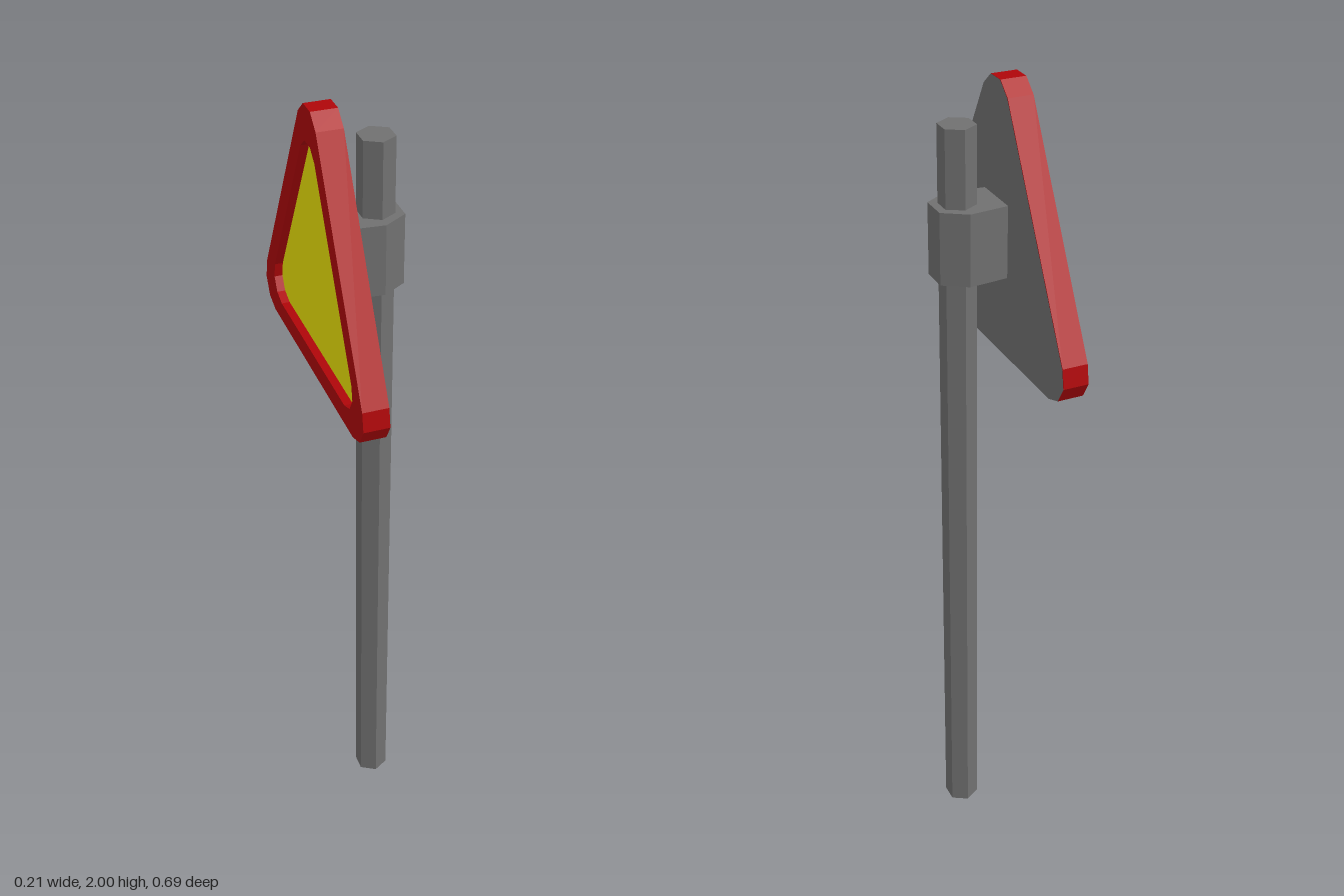
import * as THREE from 'three';

// Centre height of the triangular sign
const SIGN_Y = 1.604;

// Rounded triangle outline about its centre: three corner arcs of three segments each
function trianglePoints(scale) {
  const radius = 0.067;
  const corners = [[0.28, -0.167, -90], [0, 0.333, 30], [-0.28, -0.167, 150]];
  const points = [];
  for (const [cx, cy, start] of corners) {
    for (let i = 0; i < 4; i++) {
      const a = THREE.MathUtils.degToRad(start + i * 40);
      points.push(new THREE.Vector2(
        scale * (cx + radius * Math.cos(a)),
        scale * (cy + radius * Math.sin(a)),
      ));
    }
  }
  return points;
}

export function createModel() {
  const group = new THREE.Group();
  const material = (color) => new THREE.MeshStandardMaterial({ color, flatShading: true });
  const darkGrey = material(0x707070);
  const red = material(0xaf0609);
  const yellow = material(0xeee406);

  const add = (name, geometry, mat, x, y, z) => {
    const mesh = new THREE.Mesh(geometry, mat);
    mesh.name = name;
    mesh.position.set(x, y, z);
    group.add(mesh);
    return mesh;
  };

  // Hexagonal pole
  const poleHeight = 1.915;
  add('pole', new THREE.CylinderGeometry(0.043, 0.043, poleHeight, 6), darkGrey, 0.049, poleHeight / 2, -0.009);

  // Clamp around the pole, reaching to the back of the sign
  const clampShape = new THREE.Shape([
    [-0.045, 0.068], [-0.045, -0.05], [0.049, -0.059],
    [0.105, -0.024], [0.105, 0.041], [0.049, 0.077],
  ].map(([x, y]) => new THREE.Vector2(x, y)));
  const clampGeometry = new THREE.ExtrudeGeometry(clampShape, { depth: 0.17, bevelEnabled: false });
  clampGeometry.rotateX(-Math.PI / 2);
  add('clamp', clampGeometry, darkGrey, 0, 1.567, 0);

  // Raised red rim, facing -x
  const innerScale = 0.8;
  const rimShape = new THREE.Shape(trianglePoints(1));
  rimShape.holes.push(new THREE.Path(trianglePoints(innerScale).reverse()));
  const rim = add('signRim',
    new THREE.ExtrudeGeometry(rimShape, { depth: 0.06, bevelEnabled: false }), red, -0.0455, SIGN_Y, 0);
  rim.rotation.y = -Math.PI / 2;

  // Recessed yellow panel
  const panel = add('signPanel',
    new THREE.ShapeGeometry(new THREE.Shape(trianglePoints(innerScale))), yellow, -0.086, SIGN_Y, 0);
  panel.rotation.y = -Math.PI / 2;

  // Grey back of the sign
  const back = add('signBack',
    new THREE.ShapeGeometry(new THREE.Shape(trianglePoints(1))), darkGrey, -0.0445, SIGN_Y, 0);
  back.rotation.y = Math.PI / 2;

  return group;
}
